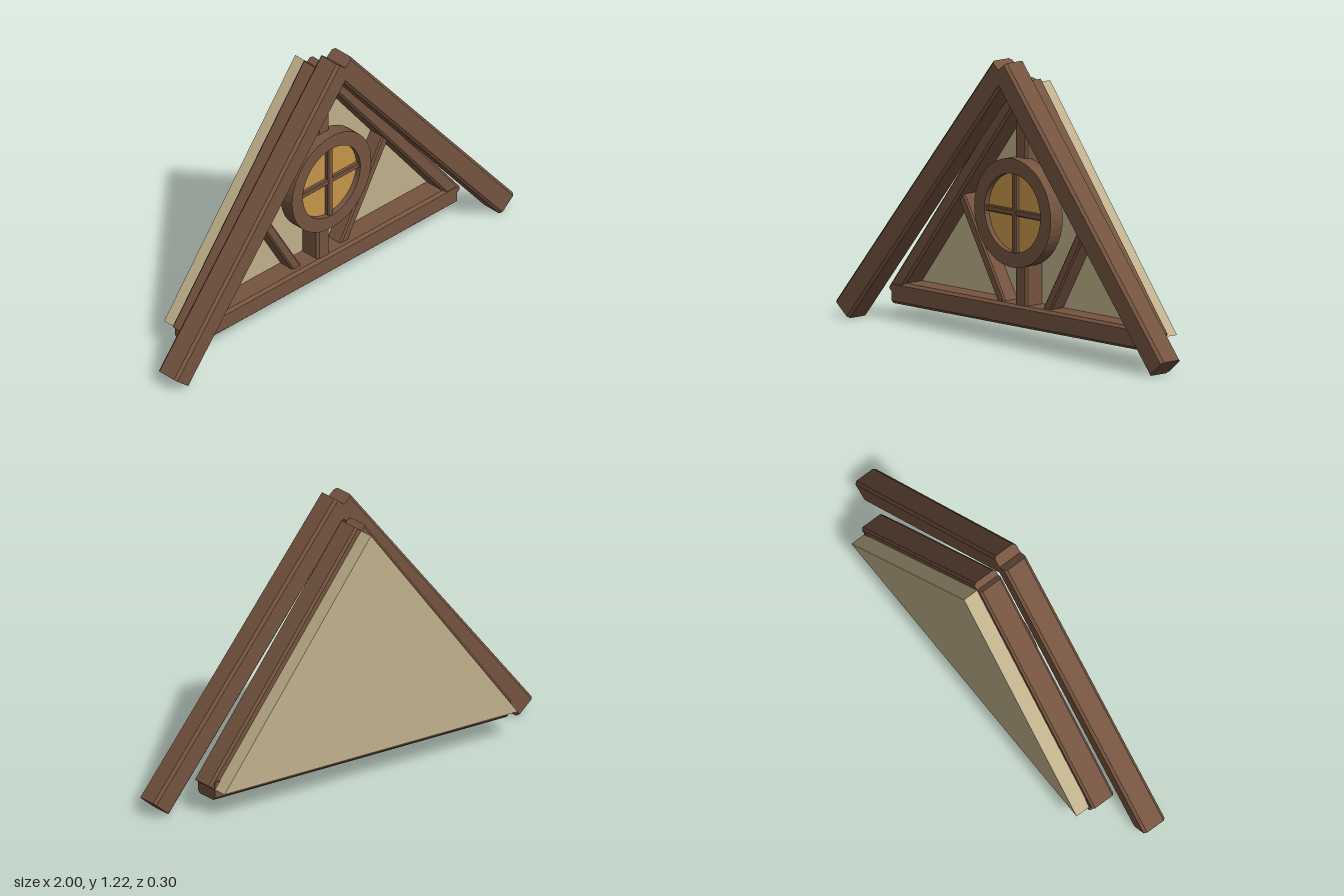
import * as THREE from 'three';

const wood = new THREE.MeshStandardMaterial({ color: 0x755440 });
wood.name = 'brown timber';
const plaster = new THREE.MeshStandardMaterial({ color: 0xc0b18c });
plaster.name = 'beige plaster';
const glass = new THREE.MeshStandardMaterial({ color: 0xc8964a });
glass.name = 'amber glass';

// Straight timber between two points in the gable plane, long edges chamfered
function beam(name, [x0, y0], [x1, y1], width, zBack, zFront, chamfer) {
  const w = width / 2, d = (zFront - zBack) / 2, c = chamfer;
  const section = new THREE.Shape([
    [w - c, -d], [w, -d + c], [w, d - c], [w - c, d],
    [-w + c, d], [-w, d - c], [-w, -d + c], [-w + c, -d],
  ].map(([x, y]) => new THREE.Vector2(x, y)));
  const dir = new THREE.Vector3(x1 - x0, y1 - y0, 0);
  const geo = new THREE.ExtrudeGeometry(section, { depth: dir.length(), bevelEnabled: false });
  dir.normalize();
  const across = new THREE.Vector3(-dir.y, dir.x, 0);
  geo.applyMatrix4(new THREE.Matrix4()
    .makeBasis(across, new THREE.Vector3(0, 0, 1), dir)
    .setPosition(x0, y0, (zBack + zFront) / 2));
  const mesh = new THREE.Mesh(geo, wood);
  mesh.name = name;
  return mesh;
}

// Round window with a cross of glazing bars
function roundWindow() {
  const group = new THREE.Group();
  group.name = 'roundWindow';
  const outer = 0.234, inner = 0.17, sides = 20;
  const ring = new THREE.Shape().absarc(0, 0, outer, 0, Math.PI * 2, false);
  ring.holes.push(new THREE.Path().absarc(0, 0, inner, 0, Math.PI * 2, true));
  const frame = new THREE.Mesh(new THREE.ExtrudeGeometry(ring,
    { depth: 0.07, bevelEnabled: false, curveSegments: sides }), wood);
  frame.name = 'windowFrame';
  const pane = new THREE.Mesh(new THREE.CylinderGeometry(inner + 0.004, inner + 0.004, 0.02, sides), glass);
  pane.name = 'windowPane';
  pane.rotation.x = Math.PI / 2;
  pane.position.z = 0.035;
  group.add(frame, pane,
    beam('verticalGlazingBar', [0, -inner], [0, inner], 0.028, 0.03, 0.064, 0.004),
    beam('horizontalGlazingBar', [-inner, 0], [inner, 0], 0.026, 0.03, 0.062, 0.004));
  group.position.y = 0.567;
  return group;
}

export function createModel() {
  const model = new THREE.Group();
  model.name = 'timberGable';

  // Triangular wall panel
  const triangle = new THREE.Shape([
    new THREE.Vector2(-0.775, 0.12), new THREE.Vector2(0.775, 0.12), new THREE.Vector2(0, 1.11),
  ]);
  const panel = new THREE.Mesh(new THREE.ExtrudeGeometry(triangle,
    { depth: 0.08, bevelEnabled: false }), plaster);
  panel.name = 'wallPanel';
  panel.position.z = -0.15;
  model.add(panel);

  // Sloping timbers, mirrored left and right
  for (const [side, s] of [['left', 1], ['right', -1]]) {
    model.add(
      beam(side + 'Bargeboard', [s * 0.96, 0.035], [0, 1.191], 0.106, 0.04, 0.152, 0.012),
      beam(side + 'Rafter', [s * 0.775, 0.12], [0, 1.11], 0.064, -0.08, 0.033, 0.01),
      beam(side + 'Brace', [s * 0.123, 0.135], [s * 0.402, 0.61], 0.044, -0.075, 0.005, 0.007));
  }

  // Horizontal tie and central post
  model.add(
    beam('tieBeam', [-0.775, 0.118], [0.775, 0.118], 0.095, -0.083, 0.035, 0.012),
    beam('kingPost', [0, 0.12], [0, 1.1], 0.074, -0.077, 0.024, 0.01));

  model.add(roundWindow());
  return model;
}
